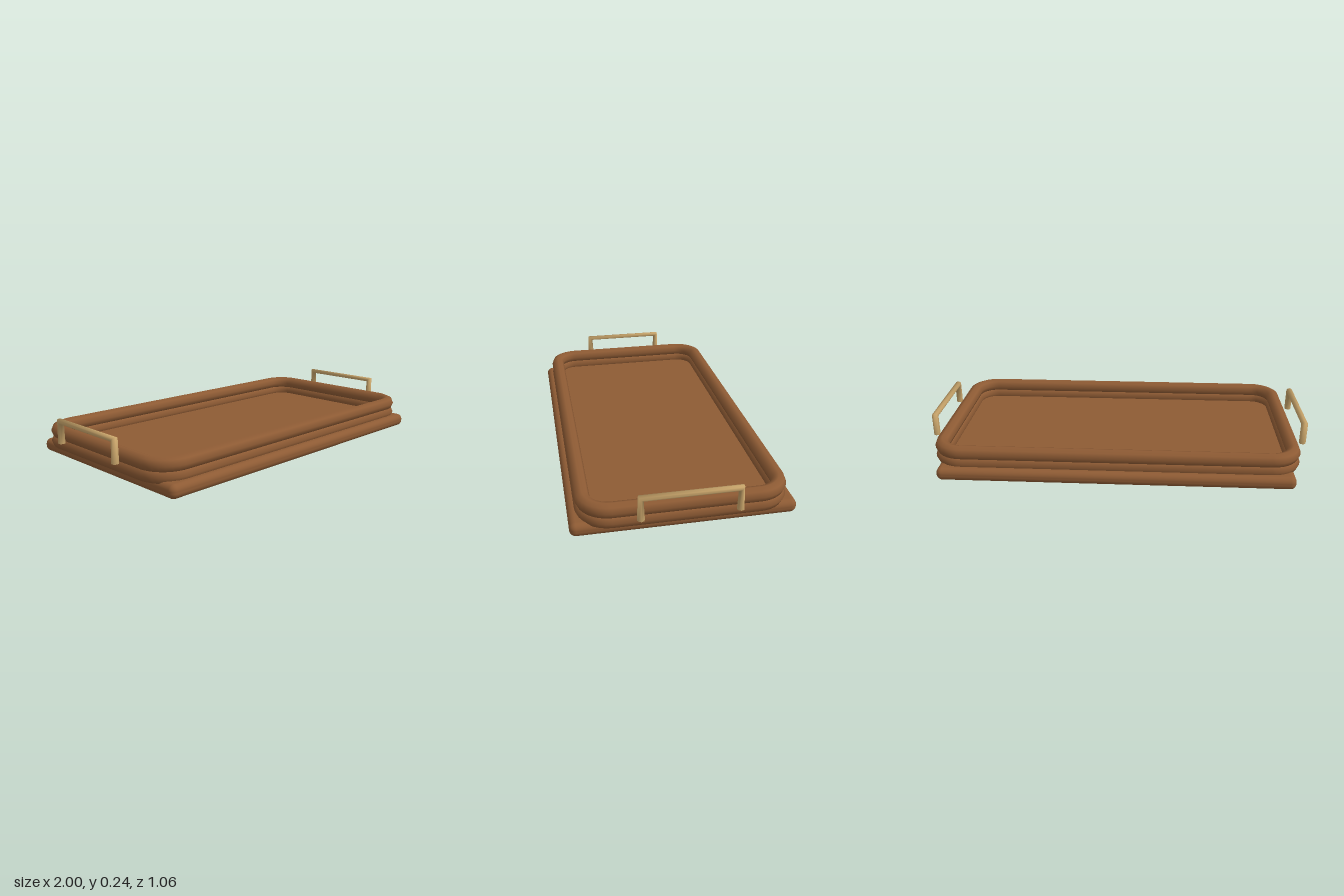
import * as THREE from 'three';
import { RoundedBoxGeometry } from 'three/addons/geometries/RoundedBoxGeometry.js';

// Polyline whose samples land on its corners, with mitred tangents there
class MitredPath extends THREE.Curve {
  constructor(points) {
    super();
    this.points = points;
  }
  getPointAt(u, target = new THREE.Vector3()) {
    const n = this.points.length - 1;
    const s = u * n;
    const i = Math.min(Math.floor(s + 1e-6), n - 1);
    return target.lerpVectors(this.points[i], this.points[i + 1], s - i);
  }
  getTangentAt(u, target = new THREE.Vector3()) {
    const a = this.getPointAt(Math.max(u - 0.01, 0));
    const b = this.getPointAt(u);
    const c = this.getPointAt(Math.min(u + 0.01, 1));
    return target.subVectors(c, b).normalize().add(b.sub(a).normalize()).normalize();
  }
}

// Horizontal rounded rectangle with half sizes w, d and corner radius r
function roundedLoop(w, d, r) {
  const path = new THREE.CurvePath();
  const corners = [[1, 1], [-1, 1], [-1, -1], [1, -1]];
  const k = r * 0.4477;
  const v = (x, z) => new THREE.Vector3(x, 0, z);
  const ends = corners.map(([sx, sz]) => {
    const onSide = [v(sx * w, sz * (d - r)), v(sx * w, sz * (d - k))];
    const onFront = [v(sx * (w - r), sz * d), v(sx * (w - k), sz * d)];
    return sx * sz > 0 ? [onSide, onFront] : [onFront, onSide];
  });
  ends.forEach(([from, to], i) => {
    path.add(new THREE.CubicBezierCurve3(from[0], from[1], to[1], to[0]));
    path.add(new THREE.LineCurve3(to[0], ends[(i + 1) % 4][0][0]));
  });
  return path;
}

export function createModel() {
  const model = new THREE.Group();
  model.name = 'servingTray';

  const wood = new THREE.MeshStandardMaterial({ color: 0x8e5b34 });
  wood.name = 'brown wood';
  const brass = new THREE.MeshStandardMaterial({ color: 0xc8a46a, side: THREE.DoubleSide });
  brass.name = 'pale brass';

  const add = (name, geometry, material, x, y, z) => {
    const mesh = new THREE.Mesh(geometry, material);
    mesh.name = name;
    mesh.position.set(x, y, z);
    model.add(mesh);
  };

  // Base board
  add('base', new RoundedBoxGeometry(1.82, 0.068, 1.064, 4, 0.03), wood, 0, 0.037, 0);

  // Two stacked rim mouldings
  const rim = new THREE.TubeGeometry(roundedLoop(0.91, 0.463, 0.12), 220, 0.037, 8, true);
  add('lowerRim', rim, wood, 0, 0.085, 0);
  add('upperRim', rim, wood, 0, 0.138, 0);

  // Handles, one beyond each end
  const handlePath = new MitredPath([
    new THREE.Vector3(0, 0.12, 0.225),
    new THREE.Vector3(0, 0.231, 0.225),
    new THREE.Vector3(0, 0.231, -0.225),
    new THREE.Vector3(0, 0.12, -0.225),
  ]);
  const handle = new THREE.TubeGeometry(handlePath, 3, 0.018, 8, false);
  add('leftHandle', handle, brass, 0.982, 0, 0);
  add('rightHandle', handle, brass, -0.982, 0, 0);

  return model;
}
